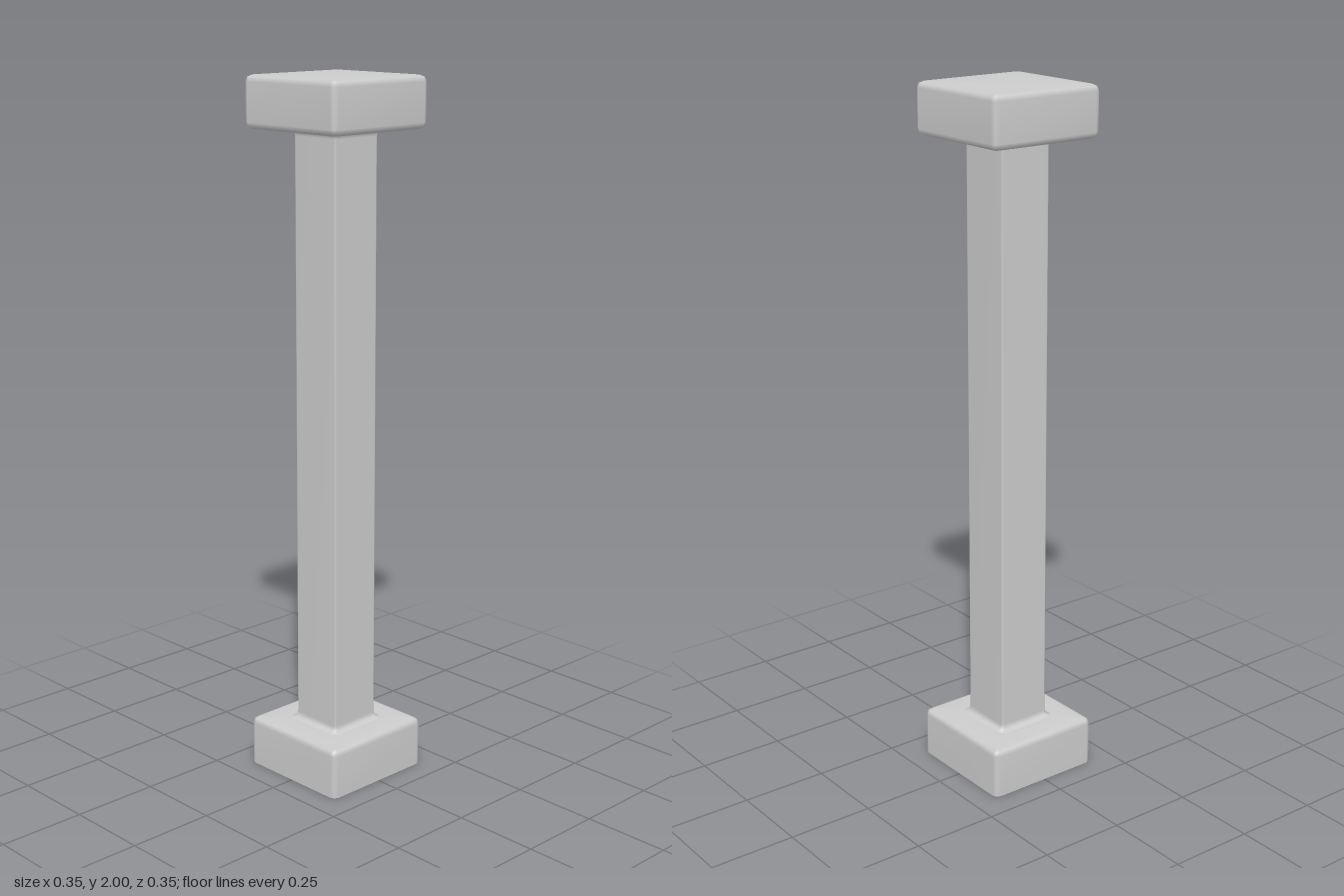
import * as THREE from 'three';

// Rounded-square cross-section: half width h, corner radius r
function ring(h, r, y) {
  const pts = [];
  for (let c = 0; c < 4; c++) {
    const mid = Math.PI / 4 + c * Math.PI / 2;
    const cx = Math.sign(Math.cos(mid)) * (h - r);
    const cz = Math.sign(Math.sin(mid)) * (h - r);
    for (let k = -1; k <= 1; k++) {
      const a = mid + k * Math.PI / 4;
      pts.push(cx + r * Math.cos(a), y, cz + r * Math.sin(a));
    }
  }
  return pts;
}

// Skin a stack of [halfWidth, cornerRadius, y] sections, optionally closed on top
function loft(sections, closeTop) {
  const n = 12, pos = [], idx = [];
  sections.forEach(([h, r, y]) => pos.push(...ring(h, r, y)));
  for (let s = 0; s < sections.length - 1; s++) {
    for (let i = 0; i < n; i++) {
      const a = s * n + i, b = s * n + (i + 1) % n;
      idx.push(a, a + n, b, b, a + n, b + n);
    }
  }
  if (closeTop) {
    const s = (sections.length - 1) * n, c = pos.length / 3;
    pos.push(0, sections[sections.length - 1][2], 0);
    for (let i = 0; i < n; i++) idx.push(c, s + (i + 1) % n, s + i);
  }
  const g = new THREE.BufferGeometry();
  g.setAttribute('position', new THREE.Float32BufferAttribute(pos, 3));
  g.setIndex(idx);
  g.computeVertexNormals();
  return g;
}

export function createModel() {
  const group = new THREE.Group();
  group.name = 'column';
  const material = new THREE.MeshStandardMaterial({ color: 0xcccccc, side: THREE.DoubleSide });

  const W = 0.177, S = 0.08, B = 0.018; // block half width, shaft half width, bevel
  const H = 0.144;                      // block height

  // Lower half profile: block side, rounded shoulder, fillet into the shaft
  const shoulder = [
    [W, B, H - B],
    [W - 0.3 * B, B * 0.7, H - 0.3 * B],
    [W - B, 0.004, H],
  ];
  const fillet = [
    [S + B, 0.02, H],
    [S + 0.3 * B, 0.011, H + 0.3 * B],
    [S, 0.006, H + B],
  ];
  const flip = (list) => list.map(([h, r, y]) => [h, r, 2 - y]).reverse();

  const add = (name, sections, closeTop = false) => {
    const mesh = new THREE.Mesh(loft(sections, closeTop), material);
    mesh.name = name;
    group.add(mesh);
  };

  // Hollow base, open underneath
  add('base', [[W, B, 0], ...shoulder, fillet[0]]);
  // Shaft with a fillet at each end
  add('shaft', [...fillet, ...flip(fillet)]);
  // Capital, bevelled above and below, closed on top
  add('capital', [
    ...flip([...shoulder, fillet[0]]),
    [W, B, 2 - B],
    [W - 0.3 * B, B * 0.7, 2 - 0.3 * B],
    [W - B, 0.004, 2],
  ], true);

  return group;
}
